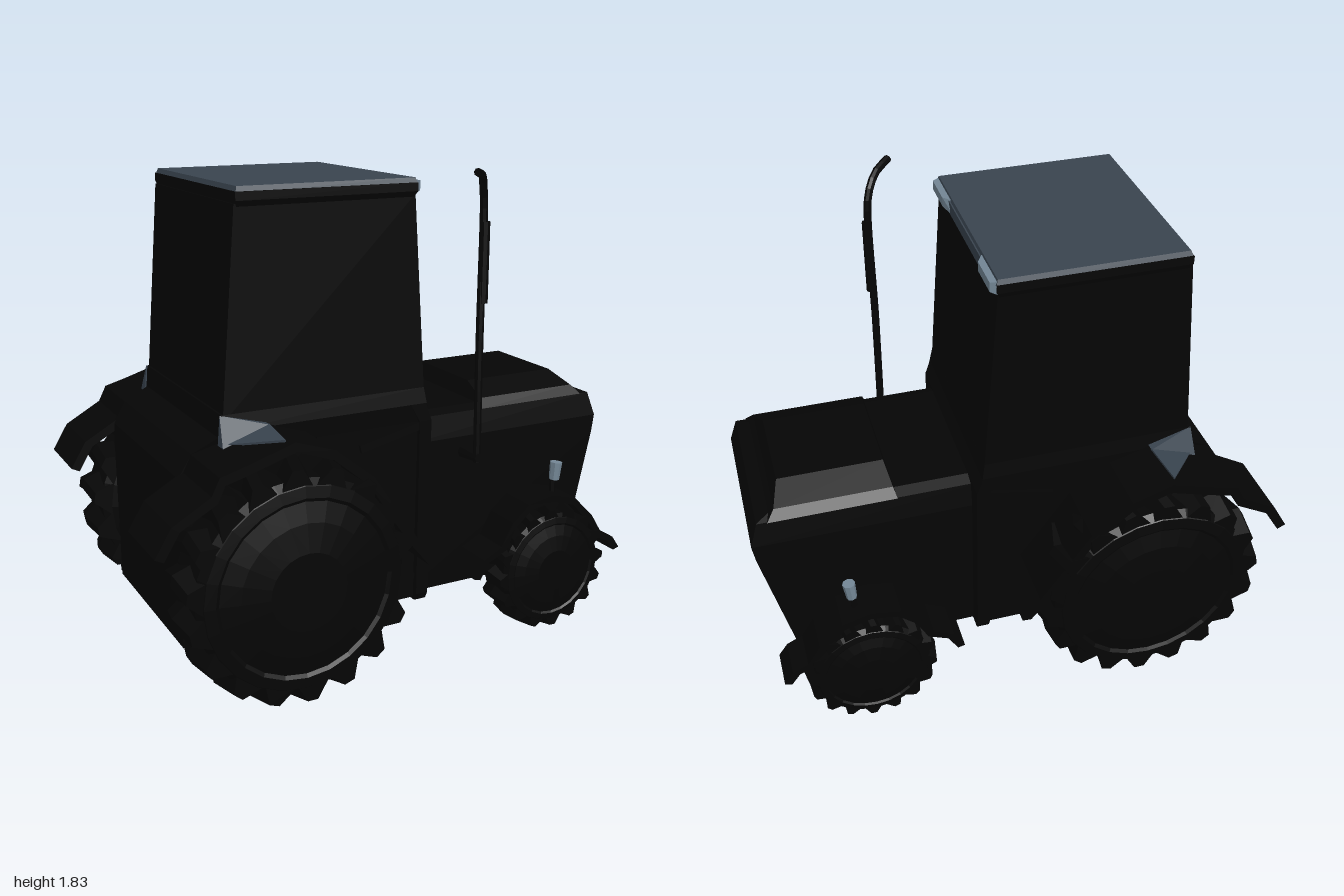
import * as THREE from 'three';
import { ConvexGeometry } from 'three/addons/geometries/ConvexGeometry.js';

const paint = (color) => new THREE.MeshStandardMaterial({ color, flatShading: true, side: THREE.DoubleSide });
const black = paint(0x050505);
const slate = paint(0x39444f);
const glass = paint(0x748796);

function add(parent, name, geometry, material = black) {
  const mesh = new THREE.Mesh(geometry, material);
  mesh.name = name;
  parent.add(mesh);
  return mesh;
}

// Box-like hull from rising sections [y, rear x, front x, half width]
function loft(sections) {
  const rings = sections.map(([y, a, b, z]) => [[a, y, -z], [a, y, z], [b, y, z], [b, y, -z]]);
  const pos = [];
  const quad = (a, b, c, d) => pos.push(...a, ...b, ...c, ...a, ...c, ...d);
  for (let i = 0; i + 1 < rings.length; i++) {
    for (let j = 0; j < 4; j++) {
      const k = (j + 1) % 4;
      quad(rings[i][j], rings[i][k], rings[i + 1][k], rings[i + 1][j]);
    }
  }
  quad(...rings[0].slice().reverse());
  quad(...rings[rings.length - 1]);
  const geo = new THREE.BufferGeometry();
  geo.setAttribute('position', new THREE.Float32BufferAttribute(pos, 3));
  geo.computeVertexNormals();
  return geo;
}

const hull = (points) => new ConvexGeometry(points.map((v) => new THREE.Vector3(...v)));

// Curved sheet: a side outline thickened toward (cx, cy) and extruded across z
function fenderGeometry(points, cx, cy, thick, z0, z1) {
  const inner = points.map(([x, y]) => {
    const d = Math.hypot(x - cx, y - cy);
    return [x - (x - cx) / d * thick, y - (y - cy) / d * thick];
  }).reverse();
  const shape = new THREE.Shape([...points, ...inner].map(([x, y]) => new THREE.Vector2(x, y)));
  return new THREE.ExtrudeGeometry(shape, { depth: z1 - z0, bevelEnabled: false }).translate(0, 0, z0);
}

// Wheel with domed outer face toward +z and a ring of tread lugs
function wheel(name, r, width, lugs) {
  const g = new THREE.Group();
  g.name = name;
  const h = width / 2;
  const profile = [[0, -0.8], [0.55, -1.08], [0.75, -1], [0.88, -0.8], [0.88, 0.7], [0.83, 0.95], [0.74, 1],
    [0.71, 0.93], [0.55, 1.07], [0.32, 1.19], [0, 1.19]];
  const tyre = add(g, 'tyre', new THREE.LatheGeometry(profile.map(([a, b]) => new THREE.Vector2(a * r, b * h)), 24));
  tyre.rotation.x = Math.PI / 2;
  const lug = new THREE.Shape();
  lug.moveTo(-r * 0.15, r * 0.82);
  lug.lineTo(r * 0.15, r * 0.82);
  lug.lineTo(r * 0.045, r);
  lug.lineTo(-r * 0.045, r);
  const lugGeo = new THREE.ExtrudeGeometry(lug, { depth: h * 0.92, bevelEnabled: false });
  // Sweep each lug back toward the shoulder and taper it down
  const p = lugGeo.attributes.position;
  for (let i = 0; i < p.count; i++) {
    const t = p.getZ(i) / h;
    p.setX(i, p.getX(i) - t * r * 0.06);
    p.setY(i, p.getY(i) - t * r * 0.045);
  }
  for (let i = 0; i < lugs; i++) {
    for (const s of [1, -1]) {
      const m = add(g, 'treadLug', lugGeo);
      m.scale.z = s;
      m.rotation.z = i / lugs * Math.PI * 2;
    }
  }
  return g;
}

// Wheels, fenders and lamp of one side (+z)
function sideParts() {
  const g = new THREE.Group();
  const rear = wheel('rearWheel', 0.45, 0.24, 18);
  rear.position.set(-0.47, 0.45, 0.53);
  const front = wheel('frontWheel', 0.255, 0.16, 16);
  front.position.set(0.63, 0.277, 0.505);
  g.add(rear, front);

  add(g, 'rearFender', fenderGeometry([[-1, 0.66], [-0.94, 0.76], [-0.8, 0.84], [-0.77, 0.9], [-0.68, 0.925],
    [-0.5, 0.98], [-0.35, 0.93], [-0.2, 0.81], [-0.1, 0.66], [-0.01, 0.53], [0.06, 0.44]],
  -0.47, 0.4, 0.035, 0.36, 0.635));
  add(g, 'frontFender', fenderGeometry([[0.27, 0.3], [0.31, 0.37], [0.39, 0.41], [0.44, 0.5], [0.51, 0.56],
    [0.62, 0.58], [0.73, 0.55], [0.82, 0.46], [0.87, 0.38], [0.93, 0.35], [0.965, 0.3]],
  0.63, 0.2, 0.028, 0.42, 0.57));

  // Corner piece sweeping from the cab down onto the rear fender
  add(g, 'fenderFairing', hull([[-0.67, 1.03, 0.39], [-0.68, 0.92, 0.44], [-0.5, 0.985, 0.43],
    [-0.5, 0.985, 0.39], [-0.68, 0.92, 0.39]]), slate);
  add(g, 'fenderFairingFoot', hull([[-0.67, 0.935, 0.42], [-0.52, 0.982, 0.6], [-0.5, 0.988, 0.42],
    [-0.52, 0.96, 0.6], [-0.5, 0.96, 0.42]]), slate);

  // Flared axle ends
  const axle = add(g, 'frontAxle', new THREE.LatheGeometry([[0.1, 0.31], [0.07, 0.345], [0.055, 0.38], [0.075, 0.42],
    [0.09, 0.45]].map(([a, b]) => new THREE.Vector2(a, b)), 12));
  axle.rotation.x = Math.PI / 2;
  axle.position.set(0.62, 0.28, 0);
  const rearAxle = add(g, 'rearAxle', new THREE.CylinderGeometry(0.1, 0.1, 0.2, 12));
  rearAxle.rotation.x = Math.PI / 2;
  rearAxle.position.set(-0.47, 0.45, 0.4);

  // Marker lamp on the front fender
  add(g, 'lampStem', new THREE.CylinderGeometry(0.012, 0.012, 0.09, 6)).position.set(0.67, 0.59, 0.5);
  const lamp = add(g, 'markerLamp', new THREE.CylinderGeometry(0.024, 0.02, 0.07, 8), glass);
  lamp.position.set(0.68, 0.65, 0.5);
  lamp.rotation.z = -0.1;

  // Window sill and roof corner lamp
  const sill = add(g, 'cabSill', new THREE.BoxGeometry(0.3, 0.03, 0.03));
  sill.position.set(0.02, 0.86, 0.382);
  sill.rotation.z = 0.22;
  add(g, 'roofLamp', hull([[0.09, 1.74, 0.16], [0.09, 1.79, 0.2], [0.09, 1.74, 0.39], [0.09, 1.79, 0.39],
    [0.115, 1.75, 0.24], [0.115, 1.785, 0.24], [0.115, 1.75, 0.38], [0.115, 1.785, 0.38]]), glass);
  return g;
}

export function createModel() {
  const model = new THREE.Group();
  model.name = 'tractor';

  // Engine hood with crowned top, and lower body
  add(model, 'engineBody', loft([[0.155, 0.1, 0.83, 0.28], [0.18, 0.1, 0.87, 0.33], [0.72, 0.1, 0.99, 0.33],
    [0.79, 0.1, 1, 0.33], [0.885, 0.1, 0.97, 0.315], [0.9, 0.1, 0.91, 0.27]]));
  add(model, 'hoodTop', loft([[0.885, 0.45, 0.93, 0.32], [0.92, 0.46, 0.9, 0.29], [0.965, 0.472, 0.87, 0.18]]));
  add(model, 'rearBody', loft([[0.155, -0.8, 0.16, 0.28], [0.18, -0.82, 0.16, 0.36], [0.82, -0.82, 0.16, 0.37],
    [0.9, -0.77, 0.16, 0.37], [0.95, -0.67, 0.15, 0.38]]));
  add(model, 'cabFrontColumn', loft([[0.17, 0.12, 0.17, 0.38], [0.2, 0.12, 0.17, 0.395],
    [0.9, 0.12, 0.17, 0.4], [0.97, 0.08, 0.145, 0.4]]));
  add(model, 'doorPanel', loft([[0.18, -0.1, 0.14, 0.37], [0.9, -0.3, 0.14, 0.385]]));

  // Cab and roof
  add(model, 'cabBase', loft([[0.9, -0.68, 0.17, 0.39], [0.97, -0.67, 0.148, 0.4], [1.03, -0.665, 0.138, 0.392]]));
  add(model, 'cab', loft([[1, -0.66, 0.14, 0.392], [1.74, -0.6, 0.09, 0.39]]));
  add(model, 'roofRim', loft([[1.73, -0.59, 0.085, 0.39], [1.75, -0.597, 0.095, 0.4], [1.78, -0.597, 0.095, 0.4]]));
  add(model, 'roofPanel', loft([[1.775, -0.595, 0.097, 0.398], [1.797, -0.588, 0.09, 0.388]]), slate);
  add(model, 'roofFrontStrip', new THREE.BoxGeometry(0.01, 0.045, 0.76), slate).position.set(0.094, 1.762, 0);

  // Mirrored side parts
  for (const s of [1, -1]) {
    const side = sideParts();
    side.name = s > 0 ? 'nearSide' : 'farSide';
    side.scale.z = s;
    model.add(side);
  }

  // Exhaust stack with bent tip, silencer and bracket
  const path = new THREE.CatmullRomCurve3([[0.365, 0.71, 0.42], [0.36, 1.2, 0.42], [0.36, 1.7, 0.42],
    [0.345, 1.76, 0.435], [0.31, 1.8, 0.48], [0.25, 1.82, 0.54]].map((v) => new THREE.Vector3(...v)),
  false, 'centripetal');
  add(model, 'exhaustPipe', new THREE.TubeGeometry(path, 30, 0.015, 8));
  add(model, 'exhaustSilencer', new THREE.CylinderGeometry(0.019, 0.019, 0.3, 8)).position.set(0.368, 1.48, 0.42);
  const bracket = add(model, 'exhaustBracket', new THREE.CylinderGeometry(0.018, 0.03, 0.12, 8));
  bracket.rotation.x = Math.PI / 2;
  bracket.position.set(0.365, 0.73, 0.375);
  return model;
}
